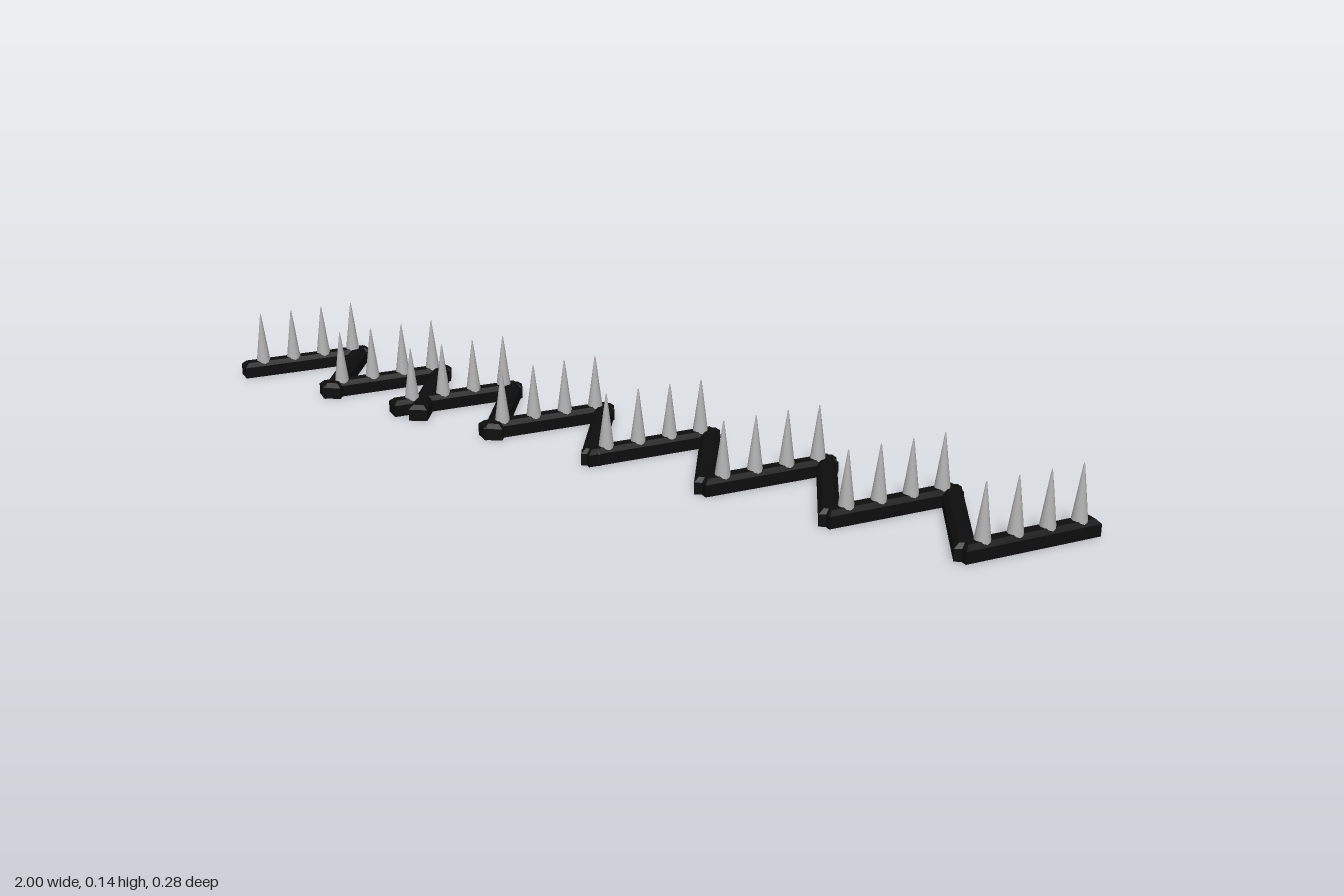
import * as THREE from 'three';

const black = new THREE.MeshStandardMaterial({ color: 0x0d0d0e });
black.name = 'black rail';
const steel = new THREE.MeshStandardMaterial({ color: 0xb0b0b0 });
steel.name = 'grey steel';

const LENGTH = 0.3, WIDTH = 0.04, HEIGHT = 0.034, BEVEL = 0.009;
const ANGLE = THREE.MathUtils.degToRad(60);

// Rail: a bar along x whose upper edges are bevelled on all four sides
function railGeometry() {
  const geo = new THREE.BoxGeometry(LENGTH, HEIGHT, WIDTH, 1, 2, 1).toNonIndexed();
  geo.translate(0, HEIGHT / 2, 0);
  const p = geo.attributes.position;
  for (let i = 0; i < p.count; i++) {
    const y = p.getY(i);
    if (y > HEIGHT * 0.9) {
      p.setX(i, p.getX(i) - Math.sign(p.getX(i)) * BEVEL);
      p.setZ(i, p.getZ(i) - Math.sign(p.getZ(i)) * BEVEL);
    } else if (y > HEIGHT * 0.1) {
      p.setY(i, HEIGHT - BEVEL);
    }
  }
  geo.computeVertexNormals();
  return geo;
}

export function createModel() {
  const model = new THREE.Group();
  model.name = 'spikeStrip';

  const railGeo = railGeometry();
  const spikeGeo = new THREE.CylinderGeometry(0.001, 0.017, 0.12, 12);
  spikeGeo.translate(0, 0.085, 0);

  function addSegment(x, angle, name) {
    const segment = new THREE.Group();
    segment.name = name;
    segment.position.x = x;
    segment.rotation.y = angle;
    const rail = new THREE.Mesh(railGeo, black);
    rail.name = 'rail';
    segment.add(rail);
    model.add(segment);
    return segment;
  }

  // Spiked rails, each with a row of four spikes
  const spiked = [-0.907, -0.657, -0.447, -0.193, 0.078, 0.358, 0.631, 0.907];
  for (const x of spiked) {
    const segment = addSegment(x, ANGLE, 'spikedSegment');
    for (let i = 0; i < 4; i++) {
      const spike = new THREE.Mesh(spikeGeo, steel);
      spike.name = 'spike';
      spike.position.x = (i - 1.5) * 0.072 + 0.005;
      segment.add(spike);
    }
  }

  // Plain rails slanting the other way, linking the spiked ones
  for (const x of [-0.778, -0.522, -0.313, -0.058, 0.215, 0.492, 0.767]) {
    addSegment(x, -ANGLE, 'linkSegment');
  }

  return model;
}
